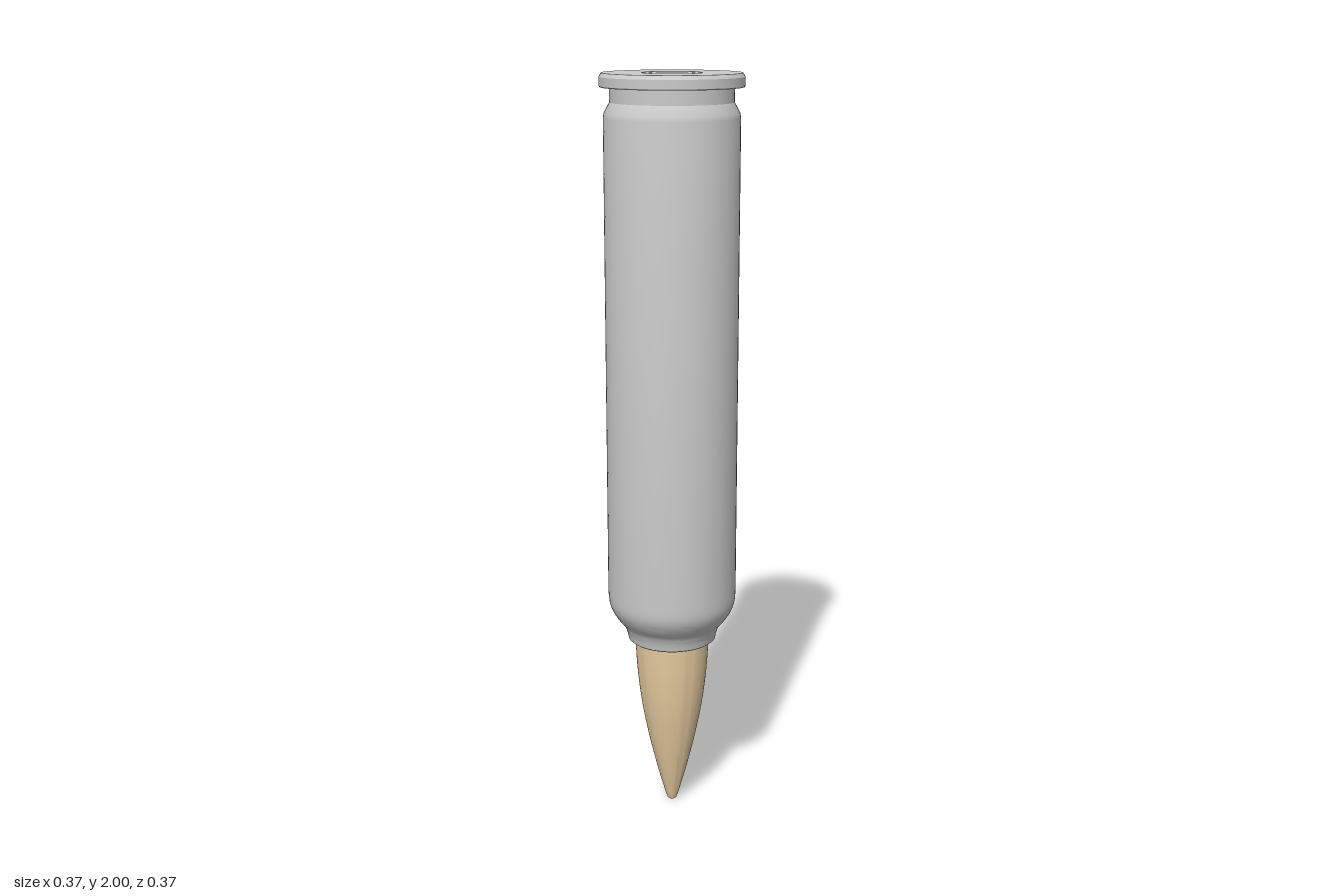
import * as THREE from 'three';
import { toCreasedNormals } from 'three/addons/utils/BufferGeometryUtils.js';

const vec = (pairs) => pairs.map(([r, y]) => new THREE.Vector2(r, y));
const smooth = (pairs, n) => new THREE.SplineCurve(vec(pairs)).getPoints(n);

// Turned part: profile runs from bottom to top, then inward
function turned(name, points, color) {
  const geometry = toCreasedNormals(new THREE.LatheGeometry(points, 64), 0.45);
  const mesh = new THREE.Mesh(geometry, new THREE.MeshStandardMaterial({ color }));
  mesh.name = name;
  return mesh;
}

export function createModel() {
  const group = new THREE.Group();
  group.name = 'cartridge';

  // Case: neck mouth, curved shoulder, long body, extractor groove, rim, flat head
  const shoulder = smooth([
    [0.119, 0.497], [0.123, 0.515], [0.132, 0.537], [0.148, 0.556],
    [0.163, 0.58], [0.171, 0.605], [0.173, 0.635],
  ], 18);
  group.add(turned('case', [
    ...vec([[0.09, 0.494], [0.115, 0.494]]),
    ...shoulder,
    ...vec([
      [0.173, 1.89], [0.171, 1.902], [0.157, 1.928], [0.157, 1.965],
      [0.181, 1.965], [0.183, 1.968], [0.183, 1.99], [0.177, 2],
      [0.076, 2], [0.076, 1.995],
    ]),
  ], 0xcccccc));

  // Primer set into the head, with a bevelled centre disc
  group.add(turned('primerRing', vec([[0.076, 1.994], [0.075, 1.998], [0.062, 1.998], [0.062, 1.99]]), 0xe2e5f2));
  group.add(turned('primer', vec([[0.062, 1.99], [0.062, 1.995], [0.058, 1.999], [0, 1.999]]), 0xd3dae4));

  // Pointed tip with a small rounded nose
  group.add(turned('tip', [
    ...vec([[0, 0], [0.007, 0.001], [0.013, 0.006]]),
    ...smooth([
      [0.017, 0.018], [0.04, 0.1], [0.064, 0.2], [0.083, 0.3], [0.095, 0.4], [0.101, 0.5],
    ], 24),
  ], 0xe8cda0));

  return group;
}
